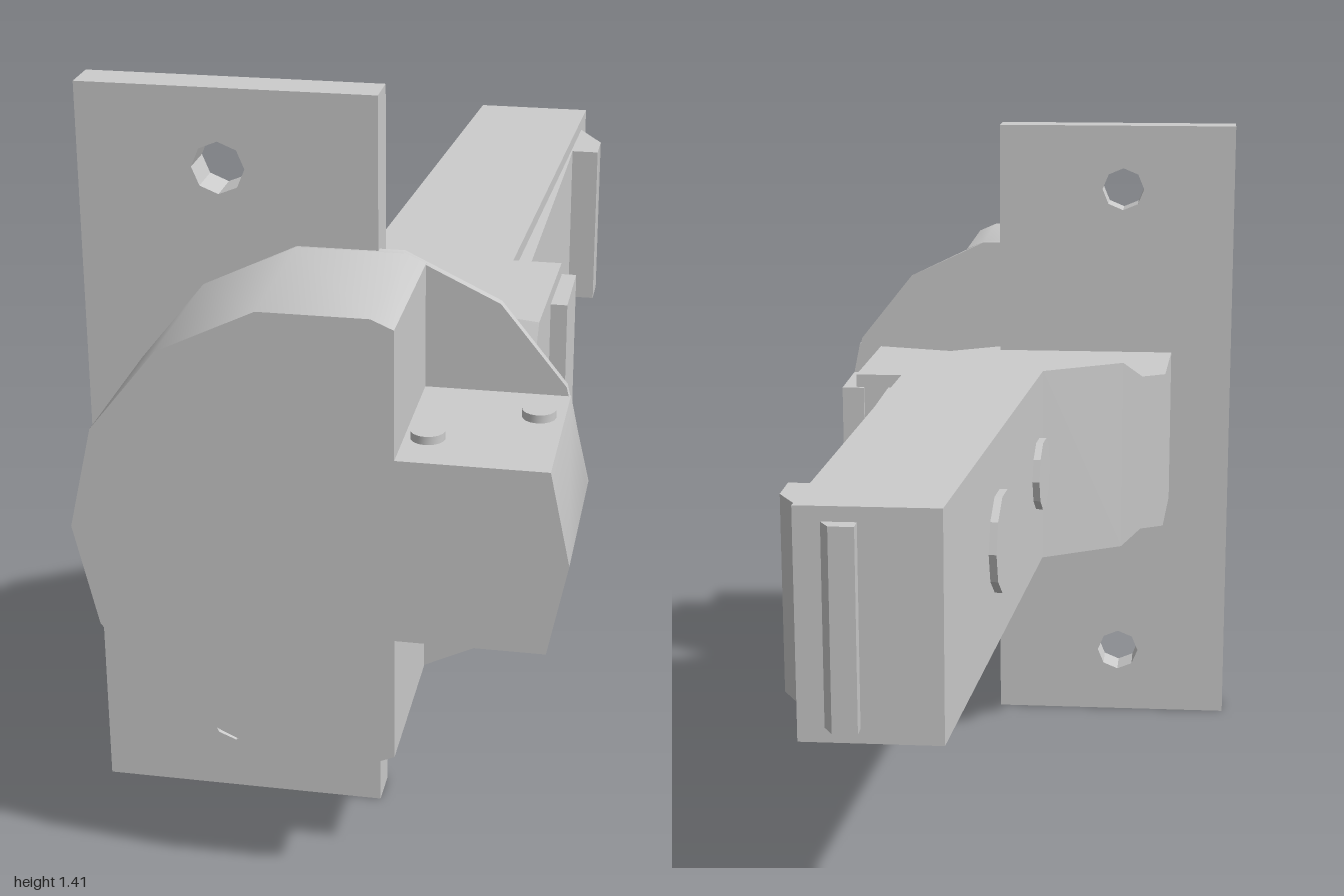
import * as THREE from 'three';
import { toCreasedNormals } from 'three/addons/utils/BufferGeometryUtils.js';
import { ConvexGeometry } from 'three/addons/geometries/ConvexGeometry.js';

const MID = 0.71; // height of the mirror plane

export function createModel() {
  const group = new THREE.Group();
  const mat = new THREE.MeshStandardMaterial({ color: 0xcccccc });

  const add = (name, geo) => {
    const mesh = new THREE.Mesh(toCreasedNormals(geo, 0.6), mat);
    mesh.name = name;
    group.add(mesh);
    return mesh;
  };
  const toShape = (pts) => new THREE.Shape(pts.map(([x, y]) => new THREE.Vector2(x, y)));
  const extrude = (shape, depth) => new THREE.ExtrudeGeometry(shape, { depth, bevelEnabled: false });

  // Outline in plan (x, z), raised symmetrically about the mid height
  const prism = (name, pts, half) => {
    const geo = extrude(toShape(pts.map(([x, z]) => [x, -z])), half * 2);
    geo.rotateX(-Math.PI / 2).translate(0, MID - half, 0);
    return add(name, geo);
  };
  // Outline in elevation (x, y), extruded from z0 to z1
  const slab = (name, shape, z0, z1) => add(name, extrude(shape, z1 - z0).translate(0, 0, z0));

  // Mounting plate with two screw holes
  const plate = toShape([[-0.46, 0], [0.08, 0], [0.08, 1.41], [-0.46, 1.41]]);
  for (const y of [0.15, 1.265]) {
    const hole = [];
    for (let i = 0; i < 8; i++) {
      const a = ((i + 0.0) * Math.PI) / 4;
      hole.push(new THREE.Vector2(-0.205 + 0.048 * Math.cos(a), y + 0.048 * Math.sin(a)));
    }
    plate.holes.push(new THREE.Path(hole));
  }
  slab('mountingPlate', plate, 0.605, 0.68);

  // Round cup: 14 sides, notched above and below on one side
  const rim = [];
  for (let i = 0; i < 14; i++) {
    const a = (i * Math.PI) / 7;
    rim.push([0.03 + 0.43 * Math.cos(a), MID + 0.43 * Math.sin(a)]);
  }
  slab('cupFlange', toShape(rim), 0.668, 0.685);
  slab('cup', toShape([
    [0.46, MID], [0.425, 0.88], [0.165, 0.88], [0.165, 1.112],
    ...rim.slice(3, 12),
    [0.165, 0.308], [0.165, 0.54], [0.425, 0.54],
  ]), 0.68, 1);

  // Arm with its wide elbow
  prism('arm', [
    [0.035, -0.97], [-0.05, 0.19], [-0.22, 0.295], [0.34, 0.445],
    [0.347, 0.12], [0.25, 0.12], [0.29, -0.97],
  ], 0.21);

  // Bevel stepping down from the arm to the slimmer knuckle
  const bevel = [];
  for (const s of [-1, 1]) {
    for (const [x, z, h] of [[-0.22, 0.295, 0.21], [0.34, 0.445, 0.21], [-0.262, 0.32, 0.175], [0.34, 0.482, 0.175]]) {
      bevel.push(new THREE.Vector3(x, MID + s * h, z));
    }
  }
  add('armBevel', new ConvexGeometry(bevel));

  prism('knuckle', [
    [-0.262, 0.32], [-0.312, 0.35], [-0.322, 0.61], [0.08, 0.61],
    [0.08, 0.652], [0.34, 0.492], [0.34, 0.482],
  ], 0.175);
  prism('cupLink', [[0.1, 0.672], [0.225, 0.672], [0.182, 0.595], [0.1, 0.63]], 0.15);

  // Raised details on the arm
  prism('sidePanel', [[0.284, -0.89], [0.284, -0.6], [0.278, 0.125], [0.24, 0.125], [0.27, -0.89]], 0.183);
  prism('stopBlock', [[0.33, 0.11], [0.376, 0.11], [0.376, 0.28], [0.33, 0.28]], 0.183);
  prism('latchHook', [[0.27, -0.92], [0.282, -0.9], [0.343, -0.795], [0.343, -0.715], [0.27, -0.715]], 0.183);
  prism('endTab', [[0.18, -0.96], [0.18, -1], [0.225, -1], [0.245, -0.965]], 0.183);

  // Pins, repeated on the upper and lower faces
  const pins = [
    ['cupPin', 0.205, 0.9, 0.17, 0.03],
    ['cupPin', 0.38, 0.78, 0.17, 0.03],
    ['knucklePin', 0.015, 0.437, 0.175, 0.037],
  ];
  for (const [name, x, z, h, r] of pins) {
    for (const s of [-1, 1]) {
      add(name, new THREE.CylinderGeometry(r, r, 0.03, 16)).position.set(x, MID + s * h, z);
    }
  }

  // Adjusting screws on the long side face, square to its slope
  for (const [z, r] of [[0.115, 0.077], [-0.42, 0.1]]) {
    const screw = add('adjustingScrew', new THREE.CylinderGeometry(r, r, 0.03, 10).rotateZ(Math.PI / 2));
    screw.position.set(0.035 - (0.085 * (z + 0.97)) / 1.16, MID, z);
    screw.rotation.y = -0.073;
  }

  return group;
}
